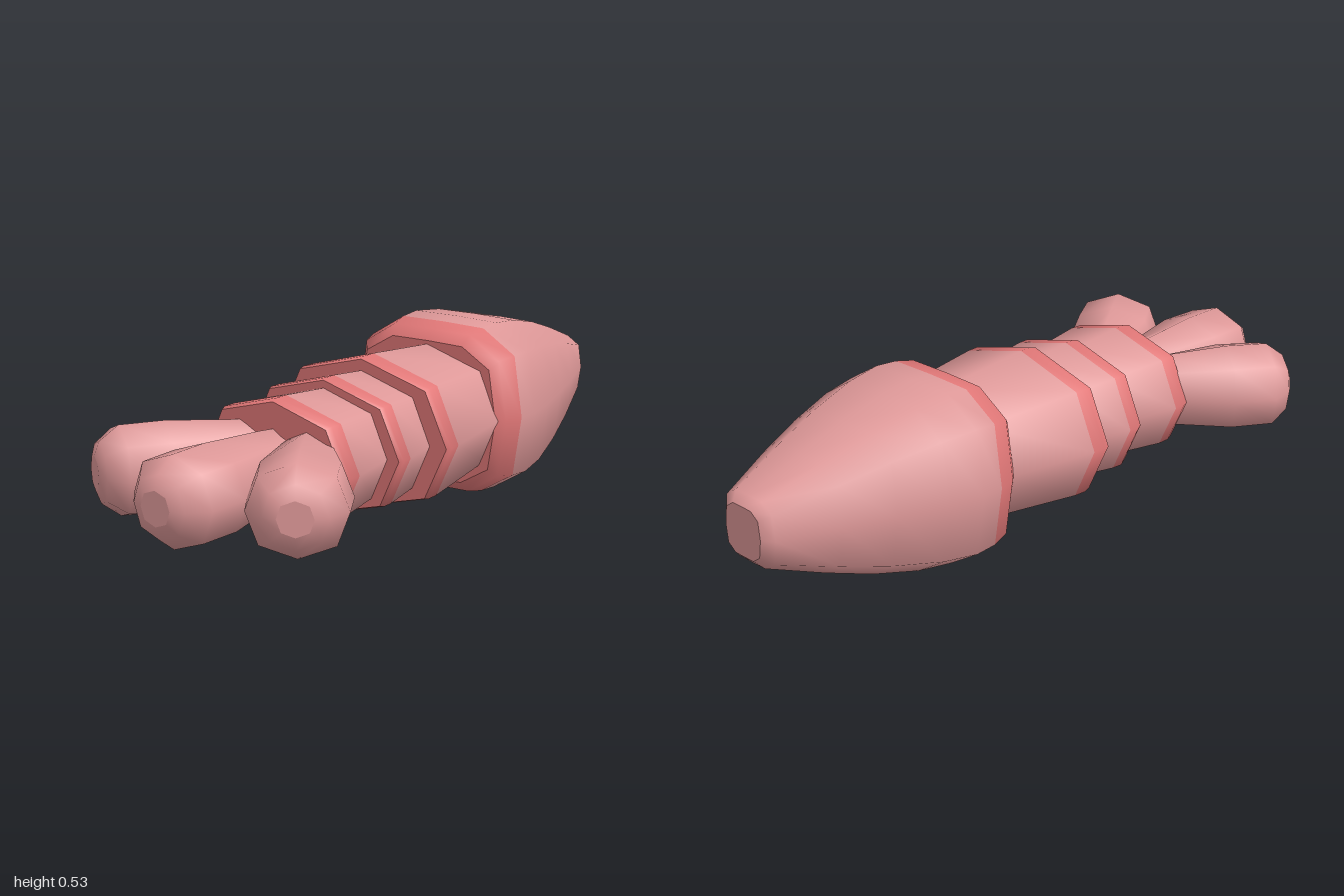
import * as THREE from 'three';

const shellPink = new THREE.MeshStandardMaterial({ color: 0xdf9999 });
shellPink.name = 'shellPink';
const bandRed = new THREE.MeshStandardMaterial({ color: 0xe27878 });
bandRed.name = 'bandRed';

const MID_Y = 0.268;

// Complete a closed cross-section from its first quadrant (from +x to +y)
function section(quadrant) {
  const left = quadrant.slice(0, -1).reverse().map(([x, y]) => [-x, y]);
  const upper = [...quadrant, ...left];
  const lower = upper.slice(1, -1).reverse().map(([x, y]) => [x, -y]);
  return [...upper, ...lower];
}

const octagon = section([[1, 0], [0.75, 0.72], [0, 1]]);
const boxyOval = section([[1, 0], [0.9, 0.72], [0.51, 0.99], [0, 1]]);

// Skin rings [z, halfWidth, halfHeight] listed by rising z.
// Intervals from bandStart onwards, and the front cap, take the second material.
function loft(name, shape, rings, bandStart = Infinity) {
  const n = shape.length;
  const pos = [];
  const idx = [];
  const groups = [];
  const addRing = ([z, rx, ry]) => {
    const start = pos.length / 3;
    for (const [x, y] of shape) pos.push(x * rx, y * ry, z);
    return start;
  };
  rings.forEach(addRing);
  for (let r = 0; r < rings.length - 1; r++) {
    groups.push([idx.length, n * 6, r >= bandStart ? 1 : 0]);
    for (let i = 0; i < n; i++) {
      const j = (i + 1) % n;
      const a = r * n + i, b = r * n + j;
      idx.push(a, b, b + n, a, b + n, a + n);
    }
  }
  // End caps keep their own vertices so their rims stay crisp
  const back = addRing(rings[0]);
  const front = addRing(rings[rings.length - 1]);
  groups.push([idx.length, (n - 2) * 3, 0]);
  for (let i = 1; i < n - 1; i++) idx.push(back, back + i + 1, back + i);
  groups.push([idx.length, (n - 2) * 3, bandStart < rings.length ? 1 : 0]);
  for (let i = 1; i < n - 1; i++) idx.push(front, front + i, front + i + 1);

  const geo = new THREE.BufferGeometry();
  geo.setAttribute('position', new THREE.Float32BufferAttribute(pos, 3));
  geo.setIndex(idx);
  groups.forEach((g) => geo.addGroup(...g));
  geo.computeVertexNormals();
  const mesh = new THREE.Mesh(geo, [shellPink, bandRed]);
  mesh.name = name;
  mesh.position.y = MID_Y;
  return mesh;
}

export function createModel() {
  const model = new THREE.Group();
  model.name = 'crustacean';

  // Tapered head shell with a red rim
  model.add(loft('headShell', boxyOval, [
    [-1.0, 0.075, 0.075],
    [-0.975, 0.108, 0.1],
    [-0.8, 0.175, 0.165],
    [-0.65, 0.226, 0.215],
    [-0.5, 0.272, 0.251],
    [-0.39, 0.293, 0.264],
    [-0.32, 0.29, 0.259],
    [-0.26, 0.272, 0.247],
    [-0.235, 0.25, 0.215],
  ], 6));

  // Overlapping body segments, each flaring into a red band
  const segments = [
    [[-0.28, 0.25, 0.2], [0.04, 0.303, 0.229], [0.08, 0.306, 0.229], [0.1, 0.302, 0.223]],
    [[0.08, 0.24, 0.187], [0.23, 0.269, 0.202], [0.265, 0.271, 0.202], [0.28, 0.264, 0.197]],
    [[0.26, 0.22, 0.172], [0.45, 0.254, 0.19], [0.49, 0.253, 0.19], [0.51, 0.245, 0.183]],
  ];
  segments.forEach((rings, i) => model.add(loft(`bodySegment${i + 1}`, octagon, rings, 1)));

  // Tail fan: one central lobe and a mirrored pair
  const lobeRings = [
    [-0.54, 0.055, 0.1],
    [-0.43, 0.088, 0.113],
    [-0.2, 0.143, 0.132],
    [-0.07, 0.138, 0.131],
    [-0.015, 0.088, 0.09],
    [0, 0.05, 0.05],
  ];
  const angle = 0.59;
  for (const [name, side] of [['centreTailLobe', 0], ['leftTailLobe', 1], ['rightTailLobe', -1]]) {
    const lobe = loft(name, octagon, lobeRings);
    lobe.position.x = side * 0.35;
    lobe.position.z = side ? 0.856 : 1.0;
    lobe.rotation.y = side * angle;
    model.add(lobe);
  }

  return model;
}
